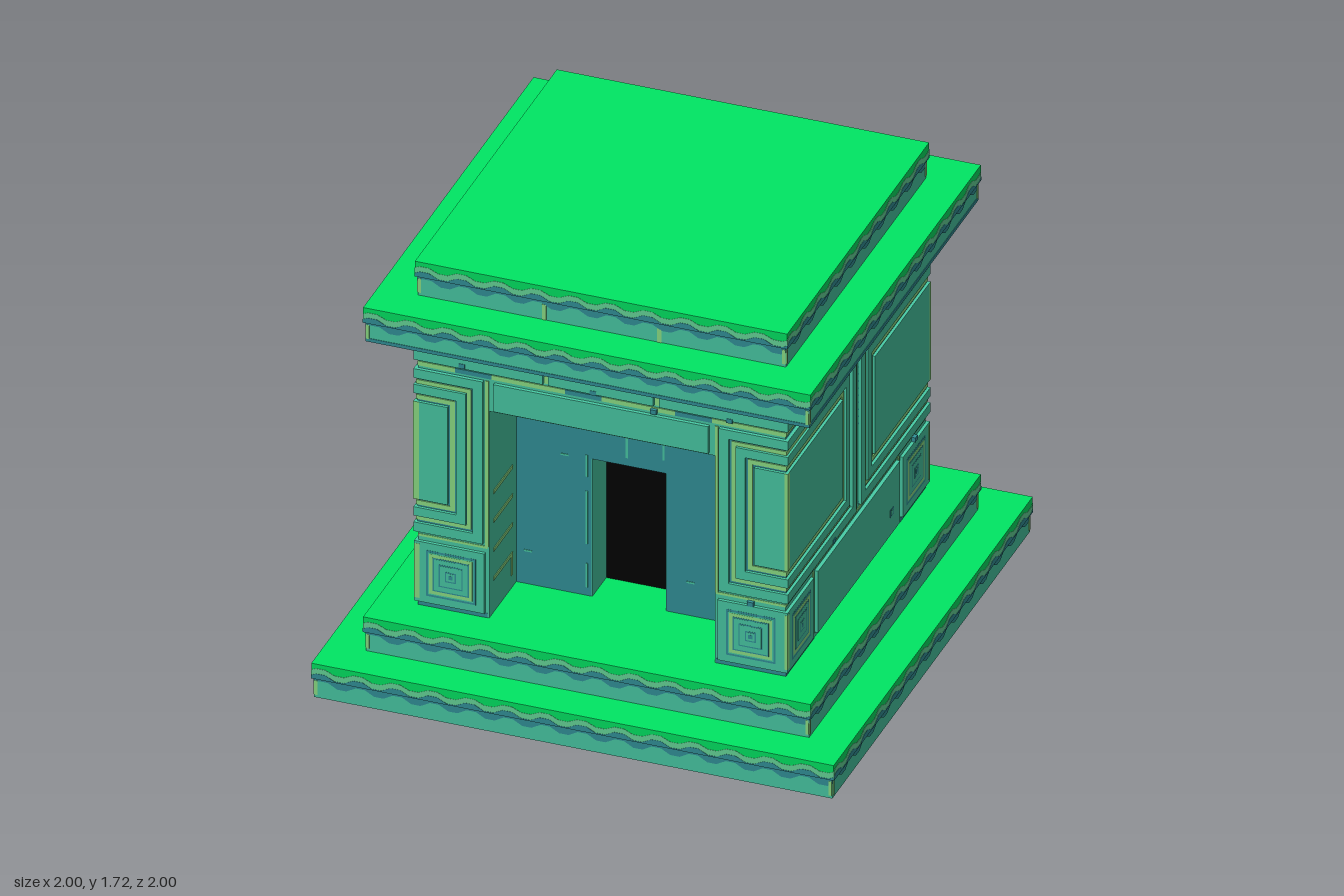
import * as THREE from 'three';

const paint = (name, color) => {
  const m = new THREE.MeshStandardMaterial({ color });
  m.name = name;
  return m;
};
const stone = paint('jade stone', 0x49cda7);
const dark = paint('dark teal stone', 0x33949b);
const moss = paint('bright moss', 0x00e764);
const pale = paint('pale moss', 0x68da9c);
const gold = paint('yellow green inlay', 0x90e387);
const black = paint('doorway black', 0x020202);

const H = 0.714; // half width of the body
const FLOOR = 0.286, ROOF = 1.43;

function box(parent, name, x0, x1, y0, y1, z0, z1, mat) {
  const mesh = new THREE.Mesh(new THREE.BoxGeometry(x1 - x0, y1 - y0, z1 - z0), mat);
  mesh.position.set((x0 + x1) / 2, (y0 + y1) / 2, (z0 + z1) / 2);
  mesh.name = name;
  parent.add(mesh);
  return mesh;
}

// One of the four sides: 0 front, 1 left, 2 back, 3 right
function side(parent, name, k) {
  const g = new THREE.Group();
  g.name = name;
  g.rotation.y = k * Math.PI / 2;
  parent.add(g);
  return g;
}

// Raised plate on a body side, its face at distance d from the centre
const plate = (g, name, u0, u1, y0, y1, d, mat) => box(g, name, u0, u1, y0, y1, 0.692, d, mat);

// Closed rectangular rim
function rim(g, name, u0, u1, y0, y1, w, d, mat) {
  plate(g, name, u0, u1, y1 - w, y1, d, mat);
  plate(g, name, u0, u1, y0, y0 + w, d, mat);
  plate(g, name, u0, u0 + w, y0 + w, y1 - w, d, mat);
  plate(g, name, u1 - w, u1, y0 + w, y1 - w, d, mat);
}

// Rim that is open toward the body corner; s mirrors it
function cornerRim(g, name, s, u, y0, y1, w, d, mat) {
  const bar = (a, b, c, e) => plate(g, name, Math.min(s * a, s * b), Math.max(s * a, s * b), c, e, d, mat);
  bar(u, d, y1 - w, y1);
  bar(u, d, y0, y0 + w);
  bar(u, u + w, y0 + w, y1 - w);
}

// inset, width, depth, material of the nested rims
const RIMS = [[0, 0.038, H, stone], [0.047, 0.016, 0.707, gold], [0.065, 0.036, H, stone], [0.109, 0.018, 0.707, gold]];
const FIELD = 0.135;

function cornerPanel(g, s, u) {
  const y0 = 0.595, y1 = 1.27;
  const span = (name, a, d, c, e, mat) => plate(g, name, Math.min(s * a, s * d), Math.max(s * a, s * d), c, e, d, mat);
  span('panelGroove', u, 0.703, y0, y1, dark);
  for (const [i, w, d, mat] of RIMS) cornerRim(g, 'panelRim', s, u + i, y0 + i, y1 - i, w, d, mat);
  span('panelField', u + FIELD, H, y0 + FIELD, y1 - FIELD, stone);
}

// Corner block carved with nested squares
function cornerBlock(g, s) {
  plate(g, 'cornerBlock', s > 0 ? 0.445 : -0.712, s > 0 ? 0.712 : -0.445, 0.306, 0.555, 0.712, stone);
  const c = s * 0.572, y = 0.43;
  [[0.095, dark], [0.087, stone], [0.082, gold], [0.069, dark], [0.064, stone], [0.046, dark], [0.041, stone], [0.021, dark], [0.016, stone], [0.008, dark]]
    .forEach(([r, mat], i) => plate(g, 'carvedSquare', c - r, c + r, y - r, y + r, 0.7125 + i * 0.0005, mat));
}

// Strip with wavy edges; top and bottom are [height, wave size]
function wavyBand(g, name, half, top, bottom, z, mat) {
  const n = Math.round(2 * half / 0.143) * 8;
  const wave = i => Math.max(-1, Math.min(1, 1.7 * Math.sin(i * Math.PI / 4)));
  const pts = [];
  for (let i = 0; i <= n; i++) pts.push(new THREE.Vector2(-half + 2 * half * i / n, top[0] + top[1] * wave(i)));
  for (let i = n; i >= 0; i--) pts.push(new THREE.Vector2(-half + 2 * half * i / n, bottom[0] + bottom[1] * wave(i)));
  const mesh = new THREE.Mesh(new THREE.ExtrudeGeometry(new THREE.Shape(pts), { depth: 0.003, bevelEnabled: false }), mat);
  mesh.position.z = z;
  mesh.name = name;
  g.add(mesh);
}

// Square slab with a mossy overhanging lip
function slab(parent, name, h, y0, y1) {
  const g = new THREE.Group();
  g.name = name;
  parent.add(g);
  const c = h - 0.012, l = h - 0.004, lipY = y1 - 0.062;
  box(g, 'slabCore', -c, c, y0, lipY, -c, c, [stone, stone, stone, dark, stone, stone]);
  box(g, 'mossLip', -l, l, lipY, y1, -l, l, [moss, moss, moss, dark, moss, moss]);
  for (let k = 0; k < 4; k++) {
    const s = side(g, 'slabSide', k);
    wavyBand(s, 'paleDrip', l, [y1 - 0.026, 0.008], [lipY, 0], l - 0.002, pale);
    wavyBand(s, 'darkDrip', l, [y1 - 0.048, 0.009], [lipY, 0], l - 0.001, dark);
    wavyBand(s, 'darkShade', c, [lipY, 0], [lipY - 0.021, 0.01], c - 0.001, dark);
    for (const e of [-1, 1]) box(s, 'cornerInlay', e * (c - 0.007) - 0.006, e * (c - 0.007) + 0.006, y0 + 0.012, lipY - 0.01, c, c + 0.003, gold);
  }
  return g;
}

function buildBody(body) {
  // Core walls around the entrance recess
  const c = 0.70;
  box(body, 'bodyCore', -c, c, FLOOR, ROOF, -c, 0.286, stone);
  box(body, 'lintelCore', -0.43, 0.43, 1.145, ROOF, 0.286, c, [stone, stone, stone, dark, stone, stone]);
  box(body, 'recessBackTop', -0.43, 0.43, 0.857, 1.145, 0.286, 0.43, dark);
  box(body, 'doorway', -0.143, 0.143, FLOOR, 0.857, 0.28, 0.29, black);
  for (const s of [-1, 1]) {
    const span = (name, a, b, y0, y1, z0, z1, mat) => box(body, name, Math.min(s * a, s * b), Math.max(s * a, s * b), y0, y1, z0, z1, mat);
    span('pillarCore', 0.43, c, FLOOR, ROOF, 0.286, c, stone);
    span('recessBack', 0.143, 0.43, FLOOR, 0.857, 0.286, 0.43, dark);
    span('doorJamb', 0.14, 0.145, FLOOR, 0.857, 0.29, 0.428, stone);
    // Inlaid lines on the recess walls
    for (const y of [0.42, 0.54, 0.66, 0.78]) span('wallInlay', 0.427, 0.431, y, y + 0.014, 0.47, 0.66, gold);
    span('wallInlay', 0.427, 0.431, 0.34, 0.42, 0.47, 0.484, gold);
  }
  // Worn joints on the recess back wall
  for (const [x0, x1, y0, y1] of [[-0.165, -0.157, 0.32, 0.42], [-0.165, -0.157, 0.5, 0.72], [-0.165, -0.157, 0.78, 0.87],
    [-0.16, -0.152, 0.98, 1.09], [-0.012, -0.004, 0.89, 1.03], [-0.09, -0.05, 0.99, 0.998], [0.06, 0.13, 0.99, 0.998],
    [0.128, 0.136, 0.91, 0.99], [-0.26, -0.23, 0.85, 0.857], [0.37, 0.41, 0.85, 0.857], [-0.4, -0.37, 0.42, 0.427], [0.22, 0.25, 0.42, 0.427]])
    box(body, 'wornJoint', x0, x1, y0, y1, 0.428, 0.432, stone);

  ['frontWall', 'leftWall', 'backWall', 'rightWall'].forEach((name, k) => {
    const g = side(body, name, k), flank = k % 2 === 1;
    // Corner blocks and panels, mirrored
    for (const s of [-1, 1]) {
      const lo = flank ? 0.42 : 0.436;
      const across = (part, y0, y1, mat) => plate(g, part, s > 0 ? lo : -0.702, s > 0 ? 0.702 : -lo, y0, y1, 0.702, mat);
      cornerBlock(g, s);
      cornerPanel(g, s, flank ? 0.025 : 0.45);
      across('footInlay', 0.572, 0.582, gold);
      across('footShade', FLOOR, 0.305, dark);
      if (!flank) plate(g, 'sideInlay', s * 0.438 - 0.006, s * 0.438 + 0.006, k ? 0.306 : 0.58, 1.27, 0.704, gold);
    }
    // Lit edge along one corner
    plate(g, 'edgeInlay', 0.701, 0.7145, 0.595 + FIELD, 1.27 - FIELD, 0.7148, gold);
    plate(g, 'edgeInlay', 0.701, 0.7125, 0.32, 0.545, 0.7128, gold);
    // Top course above a worn joint
    for (let i = 0; i < 10; i++)
      plate(g, 'courseJoint', -0.70 + i * 0.14, -0.56 + i * 0.14, 1.28, 1.298, 0.703, i % 3 === 1 ? dark : gold);
    const cuts = flank ? [[-H, H]] : [[-H, -0.222], [-0.2, 0.2], [0.222, H]];
    for (const [a, b] of cuts) {
      plate(g, 'topCourse', a, b, 1.308, 1.385, H, stone);
      plate(g, 'topCourseShade', a, b, 1.385, ROOF, H, dark);
    }
    if (flank) {
      plate(g, 'plinthBlock', -0.41, 0.41, 0.306, 0.562, H, stone);
      plate(g, 'middleInlay', -0.004, 0.004, 0.58, 1.28, 0.704, gold);
      plate(g, 'plinthInlay', -0.42, 0.42, 0.572, 0.582, 0.703, gold);
      for (const e of [-1, 1]) plate(g, 'plinthInlay', e * 0.426 - 0.006, e * 0.426 + 0.006, 0.306, 0.565, 0.703, gold);
      plate(g, 'chip', 0.31, 0.345, 0.38, 0.41, 0.715, dark);
      plate(g, 'chip', 0.316, 0.339, 0.386, 0.404, 0.716, stone);
    } else {
      for (const e of [-0.211, 0.211]) plate(g, 'courseCut', e - 0.008, e + 0.008, 1.308, 1.42, 0.704, gold);
    }
    // Small chips along the joints
    for (const [u, y] of [[-0.53, 1.31], [0.49, 1.3], [-0.03, 1.305], [0.2, 1.275], [-0.25, 0.59], [0.57, 0.555]])
      if (k || y > 0.6 || Math.abs(u) > 0.45) plate(g, 'chip', u - 0.012, u + 0.012, y, y + 0.018, 0.7155, dark);
    if (k === 0) plate(g, 'lintel', -0.41, 0.41, 1.155, 1.268, H, stone);
    if (k === 2) buildBackPanel(g);
  });
}

// Framed back panel with an arch of small carved blocks
function buildBackPanel(g) {
  const u = 0.42, y0 = 0.306, y1 = 1.268;
  plate(g, 'backGroove', -u, u, y0, y1, 0.703, dark);
  for (const [i, w, d, mat] of RIMS) rim(g, 'backRim', -u + i, u - i, y0 + i, y1 - i, w, d, mat);
  plate(g, 'backField', -u + FIELD, u - FIELD, y0 + FIELD, y1 - FIELD, H, stone);
  const cell = 0.082;
  for (let r = 0; r < 5; r++) for (let c = 0; c < 4; c++) {
    if (r > 2 && (c === 1 || c === 2)) continue;
    const x = (c - 1.5) * cell, y = 0.94 - r * cell;
    plate(g, 'carvingShadow', x - 0.041, x + 0.041, y - 0.041, y + 0.041, 0.715, dark);
    plate(g, 'carvedBlock', x - 0.028, x + 0.028, y - 0.028, y + 0.028, 0.718, stone);
    plate(g, 'carvedPit', x - 0.013, x + 0.013, y - 0.013, y + 0.013, 0.719, dark);
  }
  plate(g, 'chip', 0.17, 0.2, 0.5, 0.53, 0.716, dark);
}

export function createModel() {
  const temple = new THREE.Group();
  temple.name = 'temple';
  slab(temple, 'lowerStep', 1, 0, 0.143);
  slab(temple, 'upperStep', 0.857, 0.143, FLOOR);
  const body = new THREE.Group();
  body.name = 'body';
  temple.add(body);
  buildBody(body);
  const cornice = slab(temple, 'cornice', 0.857, ROOF, 1.572);
  const roof = slab(temple, 'roof', H, 1.572, 1.715);
  for (let k = 0; k < 4; k++) {
    // Dark foot of the cornice
    box(side(cornice, 'corniceFoot', k), 'footShade', -0.845, 0.845, ROOF, 1.444, 0.84, 0.847, dark);
    // Block joints on the front and back of the roof edge
    if (k % 2 === 0) for (const x of [-0.22, 0.22])
      box(side(roof, 'roofJoint', k), 'jointInlay', x - 0.008, x + 0.008, 1.572, 1.635, 0.69, 0.704, gold);
  }
  return temple;
}
